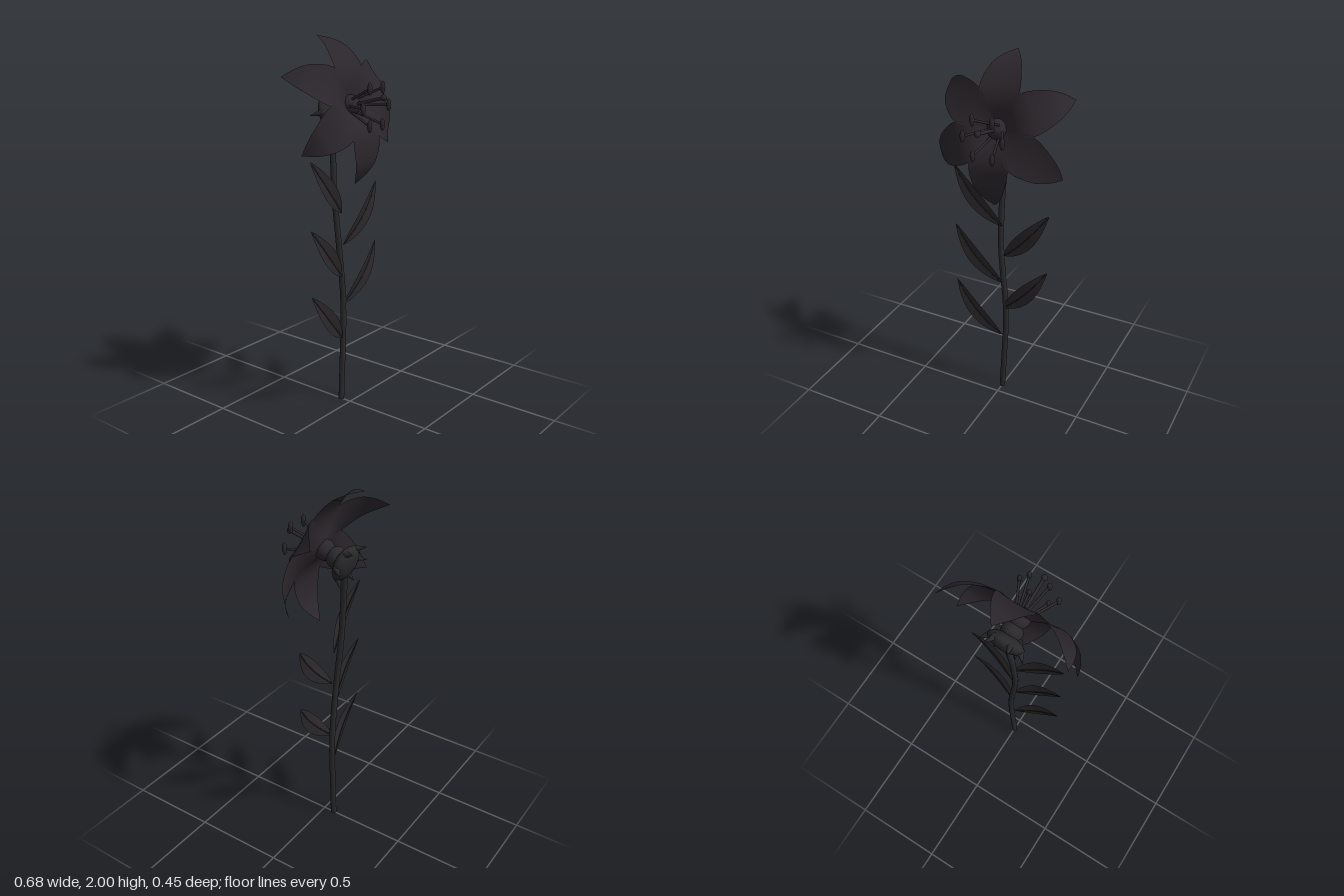
import * as THREE from 'three';

const V = (x, y, z) => new THREE.Vector3(x, y, z);
const petalMat = new THREE.MeshStandardMaterial({ color: 0x2b262b, side: THREE.DoubleSide });
const stemMat = new THREE.MeshStandardMaterial({ color: 0x29282a });
const leafMat = new THREE.MeshStandardMaterial({ color: 0x2b272a, side: THREE.DoubleSide });

function add(parent, name, geometry, material) {
  const mesh = new THREE.Mesh(geometry, material);
  mesh.name = name;
  parent.add(mesh);
  return mesh;
}

// Smooth sheet: point(t, s) with t from base to tip and s from -1 to 1 across
function sheet(point, rows, cols) {
  const pos = [], index = [];
  for (let i = 0; i <= rows; i++) {
    for (let j = 0; j <= cols; j++) {
      pos.push(...point(i / rows, (j / cols) * 2 - 1).toArray());
      if (i < rows && j < cols) {
        const a = i * (cols + 1) + j, c = a + cols + 1;
        index.push(a, a + 1, c, a + 1, c + 1, c);
      }
    }
  }
  const g = new THREE.BufferGeometry();
  g.setAttribute('position', new THREE.Float32BufferAttribute(pos, 3));
  g.setIndex(index);
  g.computeVertexNormals();
  return g;
}

// Straight tapered rod between two points
function rod(a, b, r0, r1) {
  const d = b.clone().sub(a);
  const g = new THREE.CylinderGeometry(r1, r0, d.length(), 12);
  g.applyQuaternion(new THREE.Quaternion().setFromUnitVectors(V(0, 1, 0), d.normalize()));
  return g.translate((a.x + b.x) / 2, (a.y + b.y) / 2, (a.z + b.z) / 2);
}

function ellipsoid(rx, ry, rz) {
  return new THREE.SphereGeometry(1, 24, 16).scale(rx, ry, rz);
}

export function createModel() {
  const model = new THREE.Group();
  model.name = 'flower';

  // Gently swaying stem with flat ends
  const stemCurve = new THREE.CatmullRomCurve3([
    V(0, 0.005, -0.063), V(0.01, 0.22, -0.063), V(0.02, 0.45, -0.063), V(0.016, 0.62, -0.063),
    V(0, 0.78, -0.064), V(-0.016, 0.97, -0.071), V(-0.021, 1.15, -0.086),
    V(-0.016, 1.35, -0.1), V(-0.005, 1.5, -0.112), V(0, 1.61, -0.122),
  ]);
  add(model, 'stem', new THREE.TubeGeometry(stemCurve, 60, 0.016, 12), stemMat);
  add(model, 'stemFoot', new THREE.CylinderGeometry(0.016, 0.016, 0.012, 12), stemMat)
    .position.set(0, 0.006, -0.063);

  // Alternating leaves, arched forward and lightly folded along the midrib
  [[0.375, -1], [0.565, 1], [0.73, -1], [0.905, 1], [1.085, -1]].forEach(([y, side]) => {
    const base = V(side > 0 ? 0.012 : -0.003, y, -0.055);
    const tip = V(side * 0.273, y + 0.312, -0.037);
    const dir = tip.clone().sub(base).setZ(0).normalize();
    const across = V(dir.y, -dir.x, 0);
    const middle = (t) => base.clone().lerp(tip, t)
      .addScaledVector(across, side * 0.012 * Math.sin(Math.PI * t))
      .add(V(0, 0, 0.022 * Math.sin(Math.PI * t)));
    const geometry = sheet((t, s) => {
      const w = 0.047 * Math.pow(Math.sin(Math.PI * Math.pow(t, 0.9)), 0.85) + 0.001;
      return middle(t).addScaledVector(across, s * w).add(V(0, 0, 0.2 * w * Math.abs(s)));
    }, 24, 8);
    add(model, 'leaf', geometry, leafMat);
    const rib = new THREE.CatmullRomCurve3([0, 0.25, 0.5, 0.75, 0.97].map(middle));
    add(model, 'leafMidrib', new THREE.TubeGeometry(rib, 20, 0.003, 6), stemMat);
  });

  // Flower head, facing forward and a little upward
  const head = new THREE.Group();
  head.name = 'flowerHead';
  head.position.set(0, 1.657, 0);
  head.rotation.x = -0.322;
  model.add(head);

  // Petal outline and profile: half width, distance from the axis, height
  const petalCurve = new THREE.CatmullRomCurve3([
    V(0.02, 0.02, 0), V(0.07, 0.11, 0.036), V(0.102, 0.165, 0.043), V(0.107, 0.215, 0.036),
    V(0.08, 0.31, -0.003), V(0.045, 0.36, -0.05), V(0, 0.395, -0.1),
  ]);
  const petalGeometry = sheet((t, s) => {
    const p = petalCurve.getPoint(t);
    return V(p.x * s, p.y, p.z + 0.08 * Math.max(p.x, 0) * s * s);
  }, 30, 12);
  for (let i = 0; i < 6; i++) {
    add(head, 'petal', petalGeometry, petalMat).rotation.z = i * Math.PI / 3;
  }

  // Heart, neck and calyx behind the petals
  add(head, 'heart', ellipsoid(0.054, 0.054, 0.054), petalMat);
  add(head, 'neck', ellipsoid(0.055, 0.055, 0.045), stemMat).position.z = -0.07;
  add(head, 'calyx', ellipsoid(0.095, 0.095, 0.042), stemMat).position.z = -0.128;
  const sepal = rod(V(0, 0.078, -0.125), V(0, 0.119, -0.175), 0.02, 0.001);
  for (let i = 0; i < 6; i++) {
    add(head, 'sepal', sepal, stemMat).rotation.z = (i + 0.5) * Math.PI / 3;
  }

  // Stamens in a ring with upright anthers, around a longer pistil
  for (let i = 0; i < 6; i++) {
    const a = i * Math.PI / 3, c = Math.cos(a), s = Math.sin(a);
    const end = V(0.107 * c, 1.66 + 0.107 * s, 0.165);
    add(model, 'stamen', rod(V(0.02 * c, 1.655 + 0.02 * s, -0.01), end, 0.007, 0.006), petalMat);
    add(model, 'anther', ellipsoid(0.0125, 0.032, 0.0125), petalMat).position.copy(end);
  }
  add(model, 'pistil', rod(V(0, 1.655, 0), V(0, 1.708, 0.21), 0.009, 0.008), petalMat);
  add(model, 'stigma', ellipsoid(0.016, 0.016, 0.016), petalMat).position.set(0, 1.708, 0.21);

  return model;
}
